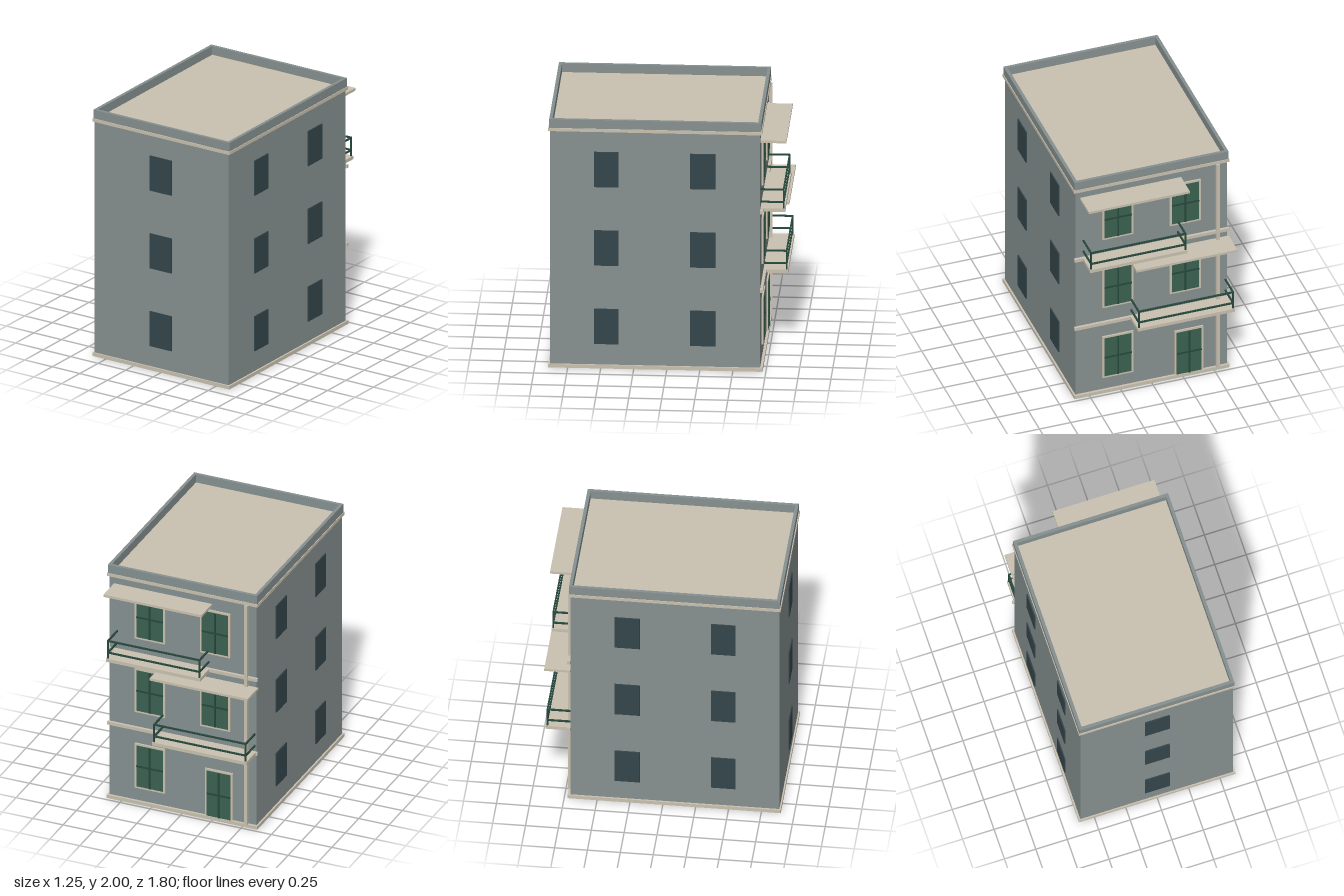
import * as THREE from 'three';

const mat = (name, color) => {
  const m = new THREE.MeshStandardMaterial({ color });
  m.name = name;
  return m;
};

export function createModel() {
  const wall = mat('wall grey', 0x869090);
  const cream = mat('cream trim', 0xc9c1b0);
  const glass = mat('dark glass', 0x34464b);
  const green = mat('shutter green', 0x3a6150);
  const railGreen = mat('railing green', 0x26483d);

  const model = new THREE.Group();
  model.name = 'apartmentBuilding';

  // Box given by its limits on each axis
  const box = (name, material, [x0, x1], [y0, y1], [z0, z1], parent = model) => {
    const mesh = new THREE.Mesh(new THREE.BoxGeometry(x1 - x0, y1 - y0, z1 - z0), material);
    mesh.position.set((x0 + x1) / 2, (y0 + y1) / 2, (z0 + z1) / 2);
    mesh.name = name;
    parent.add(mesh);
    return mesh;
  };
  const group = (name) => {
    const g = new THREE.Group();
    g.name = name;
    model.add(g);
    return g;
  };

  const W = 0.608, FRONT = 0.885, BACK = -0.705;

  // Main volume, base and cornice; the cornice top is the roof deck
  box('base', cream, [-0.622, 0.622], [0, 0.028], [-0.725, 0.897]);
  box('walls', wall, [-W, W], [0.028, 1.905], [BACK, FRONT]);
  box('corniceAndRoof', cream, [-0.622, 0.622], [1.905, 1.93], [-0.72, 0.897]);

  // Parapet ring
  const rect = (P, x, z0, z1) => {
    const p = new P();
    p.moveTo(-x, -z1).lineTo(x, -z1).lineTo(x, -z0).lineTo(-x, -z0).closePath();
    return p;
  };
  const ring = rect(THREE.Shape, 0.617, -0.715, 0.89);
  ring.holes.push(rect(THREE.Path, 0.592, -0.69, 0.865));
  const parapet = new THREE.Mesh(
    new THREE.ExtrudeGeometry(ring, { depth: 0.07, bevelEnabled: false }), wall);
  parapet.rotation.x = -Math.PI / 2;
  parapet.position.y = 1.93;
  parapet.name = 'parapet';
  model.add(parapet);

  // Plain windows on the front and both sides
  for (const y of [0.197, 0.829, 1.461]) {
    const h = [y, y + 0.283];
    box('frontWindow', glass, [-0.098, 0.098], h, [0.893, 0.902]);
    for (const z of [[0.365, 0.552], [-0.367, -0.175]]) {
      box('leftWindow', glass, [0.615, 0.624], h, z);
      box('rightWindow', glass, [-0.624, -0.615], h, z);
    }
  }

  // Framed green leaves with a dark cross, on the back wall
  const opening = (name, cx, w, y0, y1) => {
    const g = group(name), x0 = cx - w / 2, x1 = cx + w / 2, t = 0.016;
    const depth = [-0.717, BACK];
    for (const x of [x0, x1 - t]) box('frameSide', cream, [x, x + t], [y0, y1], depth, g);
    box('frameTop', cream, [x0 + t, x1 - t], [y1 - t, y1], depth, g);
    if (y0 > 0.1) box('frameBottom', cream, [x0 + t, x1 - t], [y0, y0 + t], depth, g);
    const b = y0 > 0.1 ? y0 + t : y0, top = y1 - t, mid = (b + top) / 2;
    box('leaves', green, [x0 + t, x1 - t], [b, top], [-0.72, -0.711], g);
    box('centreBar', railGreen, [cx - 0.007, cx + 0.007], [b, top], [-0.725, -0.719], g);
    box('crossBar', railGreen, [x0 + t, x1 - t], [mid - 0.007, mid + 0.007], [-0.725, -0.719], g);
  };
  opening('groundWindow', 0.27, 0.25, 0.135, 0.517);
  opening('entranceDoor', -0.30, 0.23, 0.028, 0.43);
  for (const y of [0.785, 1.417])
    for (const x of [0.27, -0.27]) opening('balconyWindow', x, 0.25, y, y + 0.378);

  // Floor bands, balconies with railings, and canopies
  const balcony = (cx, y) => {
    box('floorBand', cream, [-0.62, 0.62], [y, y + 0.026], [-0.727, BACK]);
    const g = group('balcony'), top = y + 0.026, r = 0.006, zr = -0.88;
    const x0 = cx - 0.378, x1 = cx + 0.378;
    box('slab', cream, [cx - 0.39, cx + 0.39], [y - 0.0005, top + 0.0005], [-0.892, BACK], g);
    for (const x of [x0, x1])
      box('post', railGreen, [x - r, x + r], [top, top + 0.155], [zr - r, zr + r], g);
    for (const h of [0.049, 0.149]) {
      const ys = [top + h - r, top + h + r];
      box('frontRail', railGreen, [x0, x1], ys, [zr - r, zr + r], g);
      for (const x of [x0, x1])
        box('sideRail', railGreen, [x - r, x + r], ys, [zr, BACK], g);
    }
    box('canopy', cream, [cx - 0.405, cx + 0.405], [y + 0.558, y + 0.578], [-0.902, BACK]);
  };
  balcony(-0.217, 0.633);
  balcony(0.165, 1.268);

  // Rain pipe
  box('rainPipe', cream, [-0.542, -0.515], [0.028, 1.905], [-0.732, BACK]);

  return model;
}
